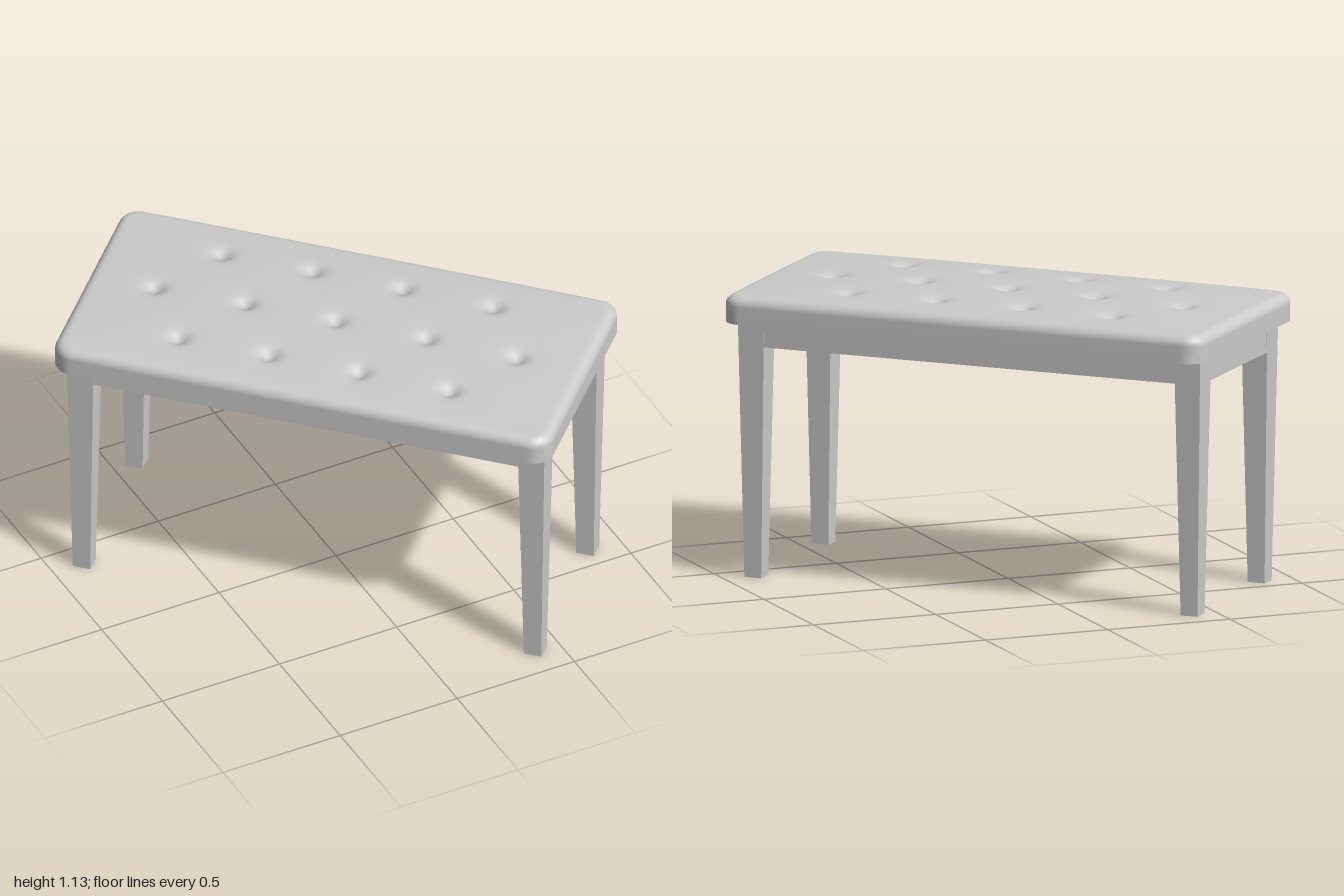
import * as THREE from 'three';

// Half length, half width and corner radius of the cushion
const A = 0.989, B = 0.472, R = 0.08;
const BASE = 1.0, SIDE_TOP = 1.067, FILLET = 0.038;
const LEG_X = 0.897, LEG_Z = 0.328;

// Staggered tufting points
const tufts = [];
for (let i = -2; i <= 2; i++) tufts.push([i * 0.36, 0]);
for (const x of [-0.54, -0.18, 0.18, 0.54]) tufts.push([x, -0.272], [x, 0.272]);

// Grid lines across the cushion: side wall, rounded edge, then even spacing
function gridLines(half, n) {
  const edge = [half + SIDE_TOP - BASE];
  for (let k = 0; k < 6; k++) edge.push(half - FILLET * (1 - Math.cos((k / 6) * Math.PI / 2)));
  const inner = half - FILLET;
  const middle = Array.from({ length: n + 1 }, (_, i) => -inner + (2 * inner * i) / n);
  return [...edge.map((v) => -v), ...middle, ...edge.slice().reverse()];
}

// Height of the top at a distance d in from the outline
function topHeight(x, z, d) {
  if (d <= 0) return SIDE_TOP + d;
  const e = Math.max(FILLET - d, 0);
  let y = SIDE_TOP + Math.sqrt(FILLET * FILLET - e * e);
  y += 0.025 * (1 - Math.pow(Math.abs(x / A), 3)) * (1 - Math.pow(Math.abs(z / B), 3));
  for (const [tx, tz] of tufts) {
    const q = (x - tx) ** 2 + (z - tz) ** 2;
    y -= 0.026 * Math.exp(-q / 0.0013) + 0.004 * Math.exp(-q / 0.009);
  }
  return y;
}

function cushionGeometry() {
  const xs = gridLines(A, 150), zs = gridLines(B, 72);
  const g = new THREE.PlaneGeometry(1, 1, xs.length - 1, zs.length - 1);
  const p = g.attributes.position;
  for (let i = 0; i < p.count; i++) {
    const u = xs[i % xs.length], v = zs[Math.floor(i / xs.length)];
    const d = Math.min(A - Math.abs(u), B - Math.abs(v));
    let x = Math.min(Math.abs(u), A), z = Math.min(Math.abs(v), B);
    const dx = Math.abs(u) - (A - R), dz = Math.abs(v) - (B - R);
    // Bend the square corner of the grid into a round one
    if (dx > 0 && dz > 0) {
      const s = Math.min(Math.max(dx, dz), R) / Math.hypot(dx, dz);
      x = A - R + dx * s;
      z = B - R + dz * s;
    }
    x *= Math.sign(u);
    z *= Math.sign(v);
    p.setXYZ(i, x, topHeight(x, z, d), z);
  }
  g.computeVertexNormals();
  return g;
}

// Flat underside with rounded corners
function undersideGeometry() {
  const s = new THREE.Shape();
  const a = A - R, b = B - R, q = Math.PI / 2;
  s.absarc(a, b, R, 0, q);
  s.absarc(-a, b, R, q, 2 * q);
  s.absarc(-a, -b, R, 2 * q, 3 * q);
  s.absarc(a, -b, R, 3 * q, 4 * q);
  return new THREE.ShapeGeometry(s, 16).rotateX(Math.PI / 2).translate(0, BASE, 0);
}

export function createModel() {
  const bench = new THREE.Group();
  bench.name = 'bench';
  const soft = new THREE.MeshStandardMaterial({ color: 0xcccccc });
  const wood = new THREE.MeshStandardMaterial({ color: 0xcccccc, flatShading: true });
  const add = (name, geometry, material, x = 0, y = 0, z = 0) => {
    const mesh = new THREE.Mesh(geometry, material);
    mesh.name = name;
    mesh.position.set(x, y, z);
    bench.add(mesh);
  };

  add('tuftedCushion', cushionGeometry(), soft);
  add('cushionUnderside', undersideGeometry(), wood);

  // Tapered square legs
  const leg = new THREE.CylinderGeometry(0.0757, 0.049, BASE, 4).rotateY(Math.PI / 4);
  for (const sx of [-1, 1])
    for (const sz of [-1, 1]) add('leg', leg, wood, sx * LEG_X, BASE / 2, sz * LEG_Z);

  // Apron rails between the legs, almost flush with their outer faces
  const T = 0.08, out = 0.051 - T / 2;
  const longRail = new THREE.BoxGeometry(2 * LEG_X - 0.08, 0.1, T);
  const shortRail = new THREE.BoxGeometry(T, 0.1, 2 * LEG_Z - 0.08);
  for (const s of [-1, 1]) {
    add('longApron', longRail, wood, 0, 0.95, s * (LEG_Z + out));
    add('shortApron', shortRail, wood, s * (LEG_X + out), 0.95, 0);
  }

  // The bench stands diagonally
  bench.rotation.y = -Math.PI / 4;
  const model = new THREE.Group();
  model.name = 'tuftedBench';
  model.add(bench);
  return model;
}
